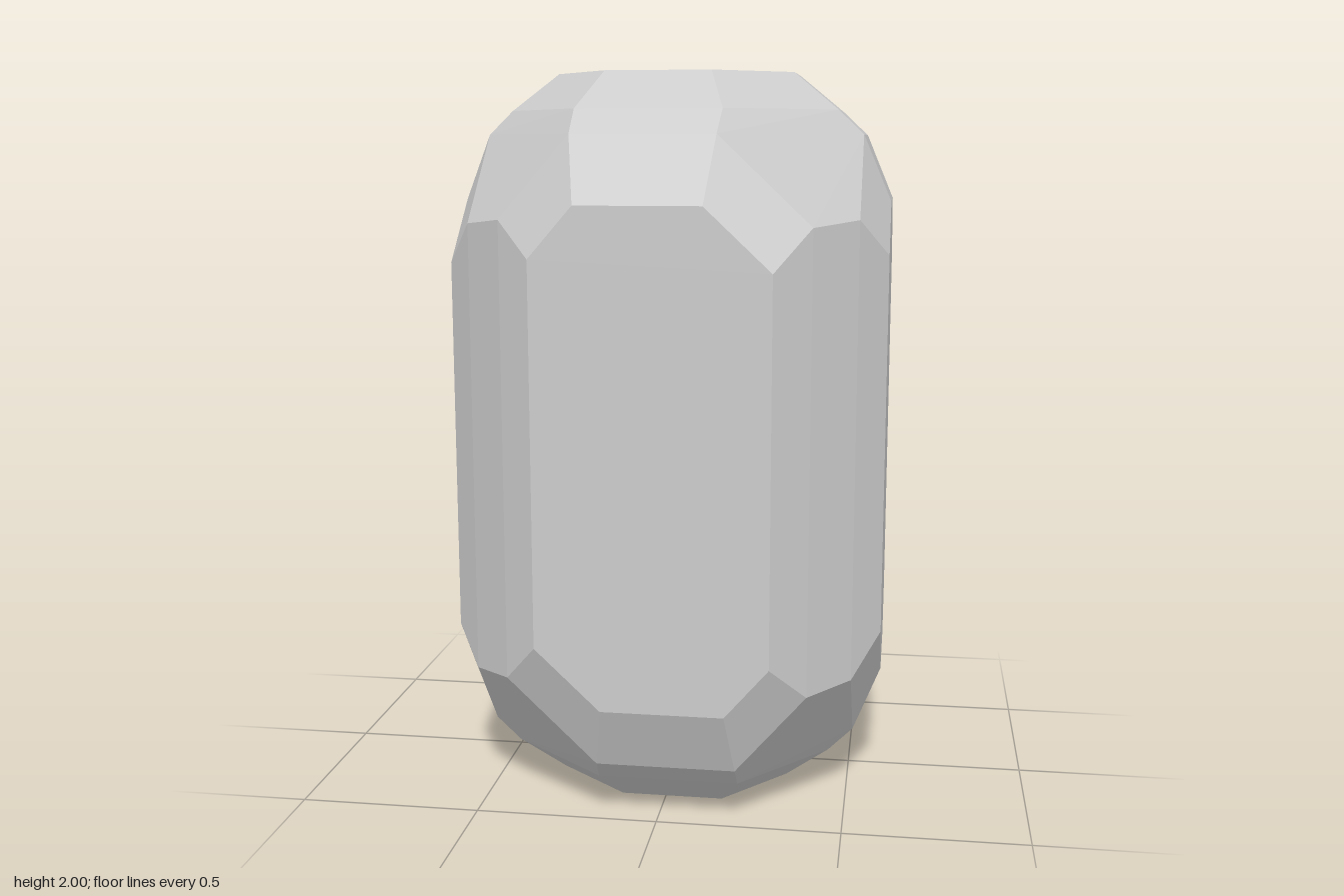
import * as THREE from 'three';
import { ConvexGeometry } from 'three/addons/geometries/ConvexGeometry.js';

// One upper quarter of the faceted solid: x, y, z
const QUARTER = [
  // front band, left and right ends, from the flat top down to the front face
  [-0.158, 2, 0.325], [0.123, 2, 0.325],
  [-0.215, 1.9, 0.447], [0.167, 1.9, 0.447],
  [-0.215, 1.836, 0.515], [0.16, 1.836, 0.515],
  [-0.193, 1.66, 0.59], [0.135, 1.66, 0.59],
  // top ends of the corner column's four upright edges
  [0.31, 1.495, 0.59], [0.403, 1.605, 0.515],
  [0.515, 1.62, 0.403], [0.59, 1.525, 0.31],
];

export function createModel() {
  const group = new THREE.Group();
  group.name = 'facetedSolid';

  // Four quarter turns about y, each with a half turn about z for the lower end
  const points = [];
  const up = new THREE.Vector3(0, 1, 0);
  for (let turn = 0; turn < 4; turn++) {
    for (const [x, y, z] of QUARTER) {
      for (const p of [new THREE.Vector3(x, y, z), new THREE.Vector3(-x, 2 - y, z)]) {
        points.push(p.applyAxisAngle(up, turn * Math.PI / 2));
      }
    }
  }

  const body = new THREE.Mesh(
    new ConvexGeometry(points),
    new THREE.MeshStandardMaterial({ color: 0xcccccc, flatShading: true })
  );
  body.name = 'body';
  group.add(body);
  return group;
}
